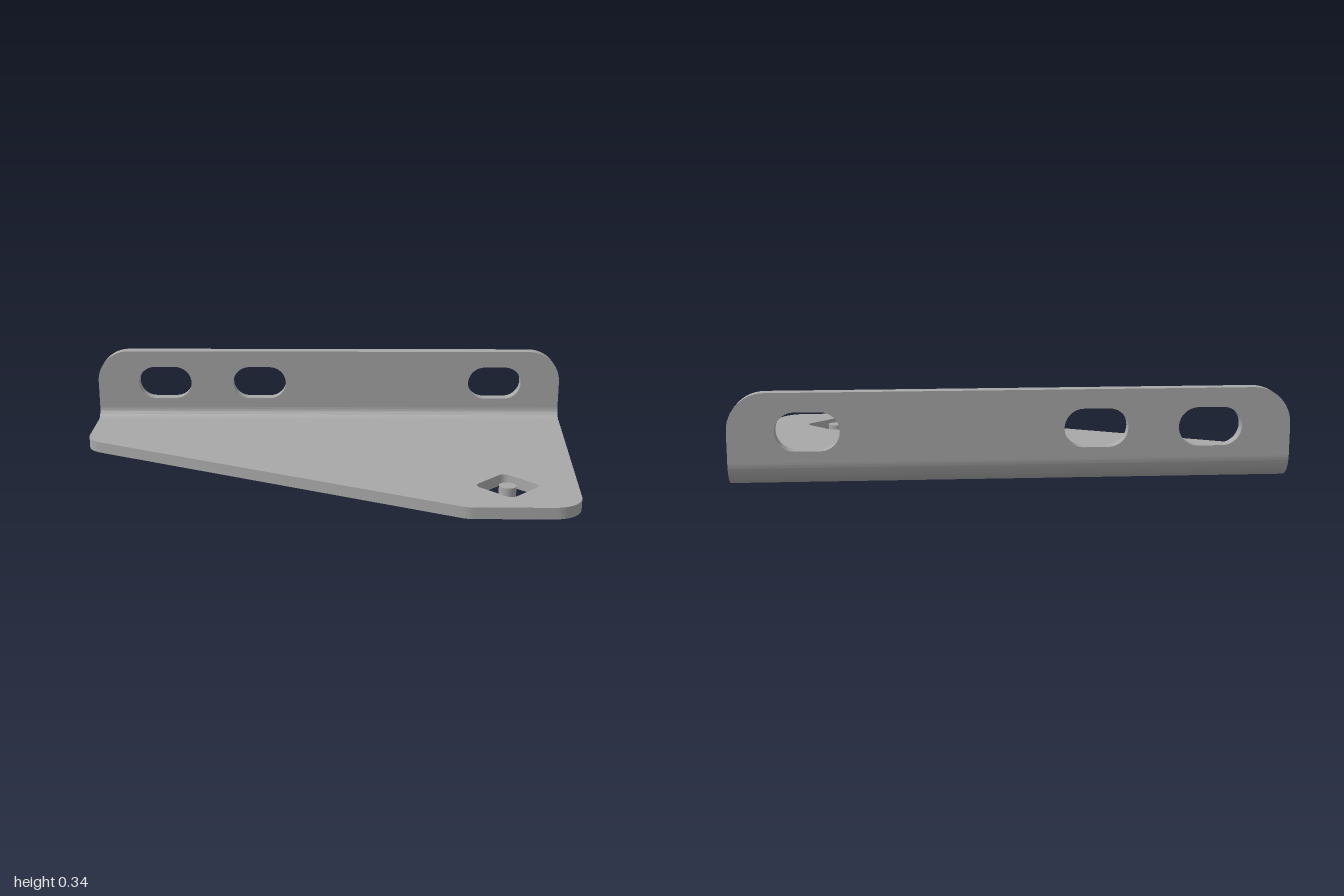
import * as THREE from 'three';
import { toCreasedNormals } from 'three/addons/utils/BufferGeometryUtils.js';

const T = 0.045; // sheet thickness
const R = 0.09; // outer bend radius
const BACK = -0.538;
const FRONT = 0.538;

// Closed outline from [x, y, radius] corners, each rounded with a true arc
function rounded(corners, Type = THREE.Shape) {
  const points = [];
  corners.forEach(([x, y, r], i) => {
    const p = new THREE.Vector2(x, y);
    if (!r) return points.push(p);
    const n = corners.length;
    const toward = ([a, b]) => new THREE.Vector2(a, b).sub(p).normalize();
    const u = toward(corners[(i + n - 1) % n]);
    const v = toward(corners[(i + 1) % n]);
    const half = Math.acos(u.dot(v)) / 2;
    const c = p.clone().add(u.clone().add(v).normalize().multiplyScalar(r / Math.sin(half)));
    const from = p.clone().addScaledVector(u, r / Math.tan(half)).sub(c);
    const turn = (Math.PI - 2 * half) * Math.sign(u.y * v.x - u.x * v.y);
    for (let k = 0; k <= 12; k++) {
      points.push(from.clone().rotateAround(new THREE.Vector2(), turn * k / 12).add(c));
    }
  });
  return new Type(points);
}

function extrude(shape, depth) {
  const geometry = new THREE.ExtrudeGeometry(shape, { depth, bevelEnabled: false, curveSegments: 20 });
  return toCreasedNormals(geometry, 0.5);
}

export function createModel() {
  const group = new THREE.Group();
  group.name = 'angleBracket';
  const steel = new THREE.MeshStandardMaterial({ color: 0xa8a8a8 });
  steel.name = 'greySteel';
  const add = (name, geometry) => {
    const mesh = new THREE.Mesh(geometry, steel);
    mesh.name = name;
    group.add(mesh);
    return mesh;
  };

  // Base plate, drawn with shape y = -z
  const bendZ = BACK + R;
  const base = rounded([
    [-1, -bendZ, 0], [-1, 0.178, 0.1], [0.508, -FRONT, 0.1],
    [0.927, -FRONT, 0.11], [1, -bendZ, 0],
  ]);
  const px = 0.677, pz = 0.322, d = 0.127;
  base.holes.push(rounded([
    [px + d, -pz, 0.03], [px, -pz + d, 0.03], [px - d, -pz, 0.03], [px, -pz - d, 0.03],
  ], THREE.Path));
  add('basePlate', extrude(base, T).rotateX(-Math.PI / 2));

  // Loose pin in the middle of the diamond opening
  add('centrePin', new THREE.CylinderGeometry(0.033, 0.033, T, 32)).position.set(px, T / 2, pz);

  // Quarter-round bend, running along x
  const bend = new THREE.Shape();
  bend.absarc(-bendZ, R, R, -Math.PI / 2, 0, false);
  bend.absarc(-bendZ, R, R - T, 0, -Math.PI / 2, true);
  add('bend', extrude(bend, 2).rotateY(Math.PI / 2).translate(-1, 0, 0));

  // Upright flange with three slots
  const flange = rounded([[-1, R, 0], [1, R, 0], [1, 0.34, 0.135], [-1, 0.34, 0.135]]);
  for (const x of [-0.71, -0.3, 0.72]) {
    const slot = new THREE.Path();
    slot.absarc(x + 0.044, 0.2, 0.07, -Math.PI / 2, Math.PI / 2, false);
    slot.absarc(x - 0.044, 0.2, 0.07, Math.PI / 2, Math.PI * 1.5, false);
    flange.holes.push(slot);
  }
  add('uprightFlange', extrude(flange, T).translate(0, 0, BACK));

  return group;
}
